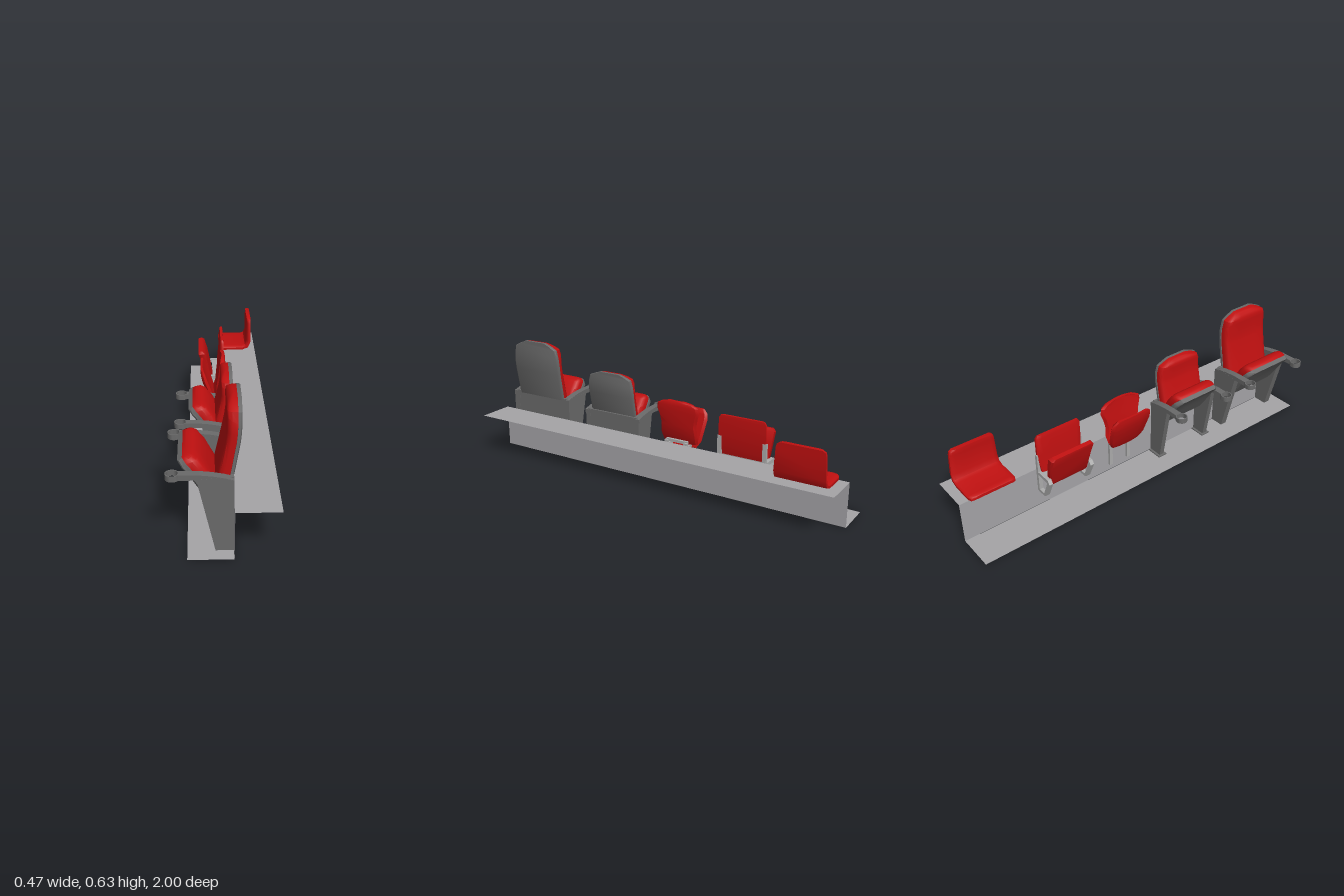
import * as THREE from 'three';
import { toCreasedNormals } from 'three/addons/utils/BufferGeometryUtils.js';

const mat = (name, color, side = THREE.FrontSide) => {
  const m = new THREE.MeshStandardMaterial({ color, side });
  m.name = name;
  return m;
};

// Ring shapes: u = 0 on the front face, 1 on the back face; v across the width
const RINGS = {
  cushion: [[1, -1], [1, 1], [0.45, 1], [0.12, 0.93], [0, 0.8], [0, 0.4], [0, -0.4], [0, -0.8], [0.12, -0.93], [0.45, -1]],
  shell: [[0.7, -1], [1, -0.94], [1, 0.94], [0.7, 1], [0, 1], [0, -1]],
  bucket: [[0.5, -1], [1, -0.9], [1.25, -0.4], [1.25, 0.4], [1, 0.9], [0.5, 1], [0, 0.9], [0.3, 0.4], [0.3, -0.4], [0, -0.9]],
};

export function createModel() {
  const model = new THREE.Group();
  model.name = 'seatingDisplay';
  const red = mat('seat red', 0xc01010);
  const dark = mat('dark grey', 0x6a6a6a);
  const steel = mat('light grey', 0xacacac);
  const concrete = mat('step grey', 0xa5a4a7, THREE.DoubleSide);

  const add = (parent, name, geo, material, x = 0, y = 0, z = 0) => {
    const mesh = new THREE.Mesh(geo, material);
    mesh.name = name;
    mesh.position.set(x, y, z);
    parent.add(mesh);
    return mesh;
  };
  const group = (name, z) => {
    const g = new THREE.Group();
    g.name = name;
    g.position.z = z;
    model.add(g);
    return g;
  };
  const box = (parent, name, m, w, h, d, x, y, z) => add(parent, name, new THREE.BoxGeometry(w, h, d), m, x, y, z);

  // Skin rows of [frontX, frontY, backX, backY, halfWidth] into a closed solid
  const loft = (rows, ring) => {
    const pos = [], idx = [], n = ring.length;
    rows.forEach(([fx, fy, bx, by, w]) => ring.forEach(([u, v]) =>
      pos.push(fx + (bx - fx) * u, fy + (by - fy) * u, v * w)));
    for (let r = 0; r < rows.length - 1; r++) for (let i = 0; i < n; i++) {
      const a = r * n + i, b = r * n + (i + 1) % n;
      idx.push(a, b, b + n, a, b + n, a + n);
    }
    [0, rows.length - 1].forEach((r, end) => {
      const [fx, fy, bx, by] = rows[r], c = pos.length / 3;
      pos.push((fx + bx) / 2, (fy + by) / 2, 0);
      for (let i = 0; i < n; i++) {
        const a = r * n + i, b = r * n + (i + 1) % n;
        idx.push(c, end ? a : b, end ? b : a);
      }
    });
    // Turn the solid outward if its volume comes out negative
    const p = (i) => new THREE.Vector3().fromArray(pos, i * 3);
    let volume = 0;
    for (let i = 0; i < idx.length; i += 3) volume += p(idx[i]).dot(p(idx[i + 1]).cross(p(idx[i + 2])));
    if (volume < 0) idx.reverse();
    const g = new THREE.BufferGeometry();
    g.setAttribute('position', new THREE.Float32BufferAttribute(pos, 3));
    g.setIndex(idx);
    return toCreasedNormals(g, 0.7);
  };

  // Side profile in x and y, extruded along z and centred on it
  const slab = (points, depth) => {
    const s = new THREE.Shape(points.map(([x, y]) => new THREE.Vector2(x, y)));
    return new THREE.ExtrudeGeometry(s, { depth, bevelEnabled: false }).translate(0, 0, -depth / 2);
  };

  // Stepped floor: lower floor, riser and upper tread
  const plane = (name, w, x, y, upright) => {
    const g = new THREE.PlaneGeometry(w, 2);
    g.rotateX(-Math.PI / 2);
    if (upright) g.rotateZ(Math.PI / 2);
    add(model, name, g, concrete, x, y, 0);
  };
  plane('lowerFloor', 0.19, -0.055, 0, false);
  plane('riser', 0.22, 0.041, 0.11, true);
  plane('upperTread', 0.19, 0.135, 0.22, false);

  // Upholstered armchairs
  const backRows = [
    [-0.035, 0.27, 0.01, 0.265, 0.148], [-0.018, 0.345, 0.027, 0.34, 0.149],
    [0.008, 0.47, 0.049, 0.47, 0.15], [0.013, 0.51, 0.053, 0.51, 0.15],
    [0.012, 0.575, 0.055, 0.55, 0.147], [0.012, 0.598, 0.055, 0.598, 0.136],
    [0.018, 0.612, 0.055, 0.614, 0.105], [0.03, 0.625, 0.055, 0.63, 0.065],
  ];
  const panRows = [
    [-0.015, 0.235, -0.04, 0.215, 0.14], [-0.035, 0.28, -0.07, 0.27, 0.148],
    [-0.075, 0.355, -0.13, 0.353, 0.148], [-0.105, 0.392, -0.15, 0.377, 0.145],
    [-0.125, 0.403, -0.158, 0.387, 0.138], [-0.15, 0.403, -0.167, 0.393, 0.12],
  ];
  const panShell = [
    [-0.04, 0.215, -0.06, 0.2, 0.14], [-0.07, 0.27, -0.095, 0.255, 0.15],
    [-0.13, 0.353, -0.14, 0.325, 0.15], [-0.15, 0.377, -0.168, 0.358, 0.147],
    [-0.167, 0.393, -0.186, 0.38, 0.122],
  ];
  const armchair = (name, z, o) => {
    const g = group(name, z);
    const shape = (rows, fx, fy, fw) => rows.map(([a, b, c, d, w]) => [fx(a), fy(b), fx(c), fy(d), w * fw]);
    const bx = (x) => x * o.backScaleX - o.backShift;
    const by = (y) => o.top - (0.63 - y) * o.backScaleY;
    const back = shape(backRows, bx, by, o.width);
    add(g, 'backCushion', loft(back.map((r) => [...r.slice(0, 4), r[4] * 0.965]), RINGS.cushion), red);
    add(g, 'backShell', loft(back.map(([, , x, y, w]) => [x, y, x + 0.016, y, w]), RINGS.shell), dark);
    const px = (x) => x + o.panShift, py = (y) => y - o.panDrop;
    add(g, 'seatCushion', loft(shape(panRows, px, py, o.width * 0.97), RINGS.cushion), red);
    add(g, 'seatShell', loft(shape(panShell, px, py, o.width), RINGS.shell), dark);
    box(g, 'rearPanel', dark, 0.014, 0.135, o.arm * 2, 0.032, o.armTop - 0.088, 0);
    for (const s of [-1, 1]) {
      const t = o.armTop, c = o.cupX;
      const leg = slab([[-0.035, 0], [0.04, 0], [0.04, t - 0.027], [-0.02, t - 0.013], [o.legFront, t - 0.022]], o.legWidth);
      add(g, 'armStandard', leg, dark, 0, 0, s * o.arm);
      const arm = slab([[c + 0.022, t - 0.024], [o.legFront, t - 0.024], [0.04, t - 0.045], [0.04, t - 0.026],
        [0, t - 0.015], [-0.05, t - 0.006], [-0.1, t - 0.001], [c + 0.022, t]], 0.035);
      add(g, 'armRest', arm, dark, 0, 0, s * o.arm);
      const ring = new THREE.Shape().absarc(0, 0, 0.029, 0, Math.PI * 2);
      ring.holes.push(new THREE.Path().absarc(0, 0, 0.024, 0, Math.PI * 2, true));
      const cup = new THREE.ExtrudeGeometry(ring, { depth: 0.025, bevelEnabled: false, curveSegments: 12 });
      add(g, 'cupHolder', toCreasedNormals(cup.rotateX(-Math.PI / 2), 0.7), dark, c, t - 0.025, s * o.arm);
      if (o.foot) box(g, 'footPlate', dark, 0.086, 0.006, 0.05, -0.003, 0.003, s * o.arm);
    }
  };
  armchair('largeArmchair', 0.747, {
    top: 0.63, backScaleX: 1, backScaleY: 1, backShift: 0, width: 1, panShift: 0, panDrop: 0,
    arm: 0.173, armTop: 0.355, cupX: -0.206, legFront: -0.11, legWidth: 0.036,
  });
  armchair('smallArmchair', 0.275, {
    top: 0.525, backScaleX: 0.85, backScaleY: 0.72, backShift: 0.008, width: 0.91, panShift: 0.04, panDrop: 0.012,
    arm: 0.153, armTop: 0.33, cupX: -0.181, legFront: -0.085, legWidth: 0.026, foot: true,
  });

  // Moulded bucket seat on two wall posts
  const bucket = group('bucketSeat', -0.108);
  add(bucket, 'bucketBack', loft([
    [-0.025, 0.225, -0.005, 0.215, 0.1], [-0.012, 0.26, 0.012, 0.255, 0.105], [-0.008, 0.31, 0.022, 0.31, 0.1],
    [-0.003, 0.35, 0.026, 0.35, 0.108], [0.002, 0.385, 0.029, 0.385, 0.12], [0.006, 0.412, 0.03, 0.412, 0.115],
    [0.01, 0.428, 0.03, 0.428, 0.085], [0.014, 0.436, 0.028, 0.436, 0.045],
  ], RINGS.bucket), red);
  add(bucket, 'bucketPan', loft([
    [-0.012, 0.2, -0.022, 0.185, 0.085], [-0.022, 0.235, -0.042, 0.225, 0.108], [-0.038, 0.29, -0.062, 0.283, 0.115],
    [-0.055, 0.335, -0.079, 0.33, 0.12], [-0.065, 0.363, -0.085, 0.363, 0.116], [-0.075, 0.382, -0.087, 0.382, 0.095],
  ], RINGS.bucket), red);
  for (const s of [-1, 1]) {
    box(bucket, 'wallPost', steel, 0.014, 0.19, 0.018, 0.032, 0.135, s * 0.055);
    box(bucket, 'seatBracket', steel, 0.05, 0.014, 0.018, 0.008, 0.205, s * 0.055);
  }
  box(bucket, 'crossBar', steel, 0.014, 0.014, 0.12, 0.02, 0.228, 0);

  // Flat folding seat held by looped side frames
  const folding = group('foldingSeat', -0.468);
  add(folding, 'foldingBack', loft([
    [0.004, 0.215, 0.02, 0.215, 0.112], [0.006, 0.24, 0.026, 0.24, 0.115], [0.013, 0.31, 0.034, 0.31, 0.123],
    [0.016, 0.4, 0.036, 0.4, 0.122], [0.02, 0.415, 0.034, 0.415, 0.112],
  ], RINGS.cushion), red);
  add(folding, 'foldingPan', loft([
    [-0.022, 0.165, -0.04, 0.16, 0.1], [-0.026, 0.18, -0.05, 0.175, 0.108], [-0.05, 0.29, -0.08, 0.285, 0.116],
    [-0.066, 0.34, -0.099, 0.335, 0.118], [-0.078, 0.352, -0.1, 0.348, 0.105],
  ], RINGS.shell), red);
  for (const s of [-1, 1]) {
    box(folding, 'framePost', steel, 0.016, 0.2, 0.02, 0.028, 0.21, s * 0.118);
    const frame = new THREE.Shape([[0.036, 0.1], [0.036, 0.215], [-0.06, 0.215], [-0.075, 0.195], [-0.035, 0.105], [-0.02, 0.095], [0.028, 0.095]]
      .map(([x, y]) => new THREE.Vector2(x, y)));
    frame.holes.push(new THREE.Path([[0.02, 0.11], [-0.018, 0.11], [-0.055, 0.195], [0.02, 0.2]]
      .map(([x, y]) => new THREE.Vector2(x, y))));
    add(folding, 'frameLoop', new THREE.ExtrudeGeometry(frame, { depth: 0.02, bevelEnabled: false }), steel, 0, 0, s * 0.118 - 0.01);
  }
  box(folding, 'frameBar', steel, 0.03, 0.012, 0.22, -0.008, 0.205, 0);

  // One-piece L-shaped seat standing on the upper tread
  const shellSeat = group('treadSeat', -0.83);
  add(shellSeat, 'treadSeatShell', loft([
    [0.02, 0.24, 0.02, 0.225, 0.1], [0.026, 0.243, 0.026, 0.222, 0.115], [0.045, 0.244, 0.045, 0.222, 0.122],
    [0.155, 0.244, 0.155, 0.222, 0.122], [0.172, 0.251, 0.19, 0.235, 0.122], [0.182, 0.275, 0.205, 0.27, 0.121],
    [0.182, 0.38, 0.205, 0.38, 0.115], [0.182, 0.396, 0.205, 0.396, 0.111], [0.183, 0.405, 0.205, 0.405, 0.098],
  ], RINGS.cushion), red);
  return model;
}
